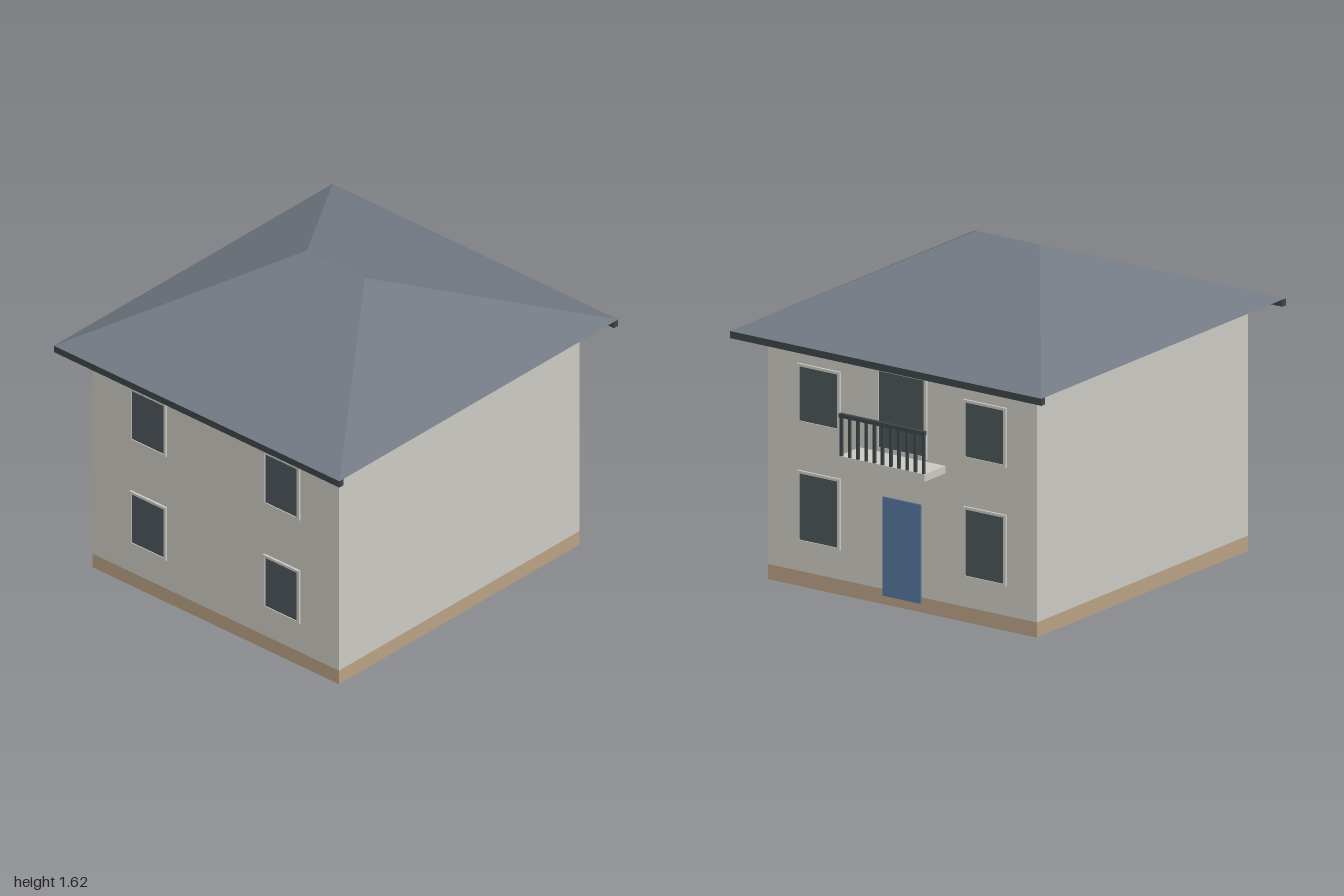
import * as THREE from 'three';

const mat = (name, color, side = THREE.FrontSide) => {
  const m = new THREE.MeshStandardMaterial({ color, side });
  m.name = name;
  return m;
};

export function createModel() {
  const house = new THREE.Group();
  house.name = 'house';
  const plaster = mat('plaster', 0xcbc9c2);
  const plinthTan = mat('plinthTan', 0xb9a184);
  const slate = mat('slate', 0x727983);
  const darkMetal = mat('darkMetal', 0x3c4548);
  const glass = mat('glass', 0x4c5559);
  const doorBlue = mat('doorBlue', 0x56759a);

  // Box given by its lower and upper limits on each axis
  const box = (name, material, [x0, x1], [y0, y1], [z0, z1], parent = house) => {
    const mesh = new THREE.Mesh(new THREE.BoxGeometry(x1 - x0, y1 - y0, z1 - z0), material);
    mesh.position.set((x0 + x1) / 2, (y0 + y1) / 2, (z0 + z1) / 2);
    mesh.name = name;
    parent.add(mesh);
    return mesh;
  };

  const W = 0.785, FRONT = 0.865, BACK = -0.83, EAVE = 1.24;

  // Plinth and walls
  box('plinth', plinthTan, [-W, W], [0, 0.075], [BACK, FRONT]);
  box('walls', plaster, [-W, W], [0.075, EAVE - 0.001], [BACK, FRONT]);

  // Hipped roof: a flat box whose top corners are drawn in to the ridge
  const RX = 0.91, RZ0 = -0.965, RZ1 = 1.0, RIDGE = 0.185, midZ = (RZ0 + RZ1) / 2;
  const corner = {
    a: [-RX, EAVE, RZ1], b: [RX, EAVE, RZ1], c: [RX, EAVE, RZ0], d: [-RX, EAVE, RZ0],
    l: [-RIDGE, 1.62, midZ], r: [RIDGE, 1.62, midZ],
  };
  const faces = ['abr', 'arl', 'bcr', 'cdl', 'clr', 'dal', 'adc', 'acb'];
  const roofGeo = new THREE.BufferGeometry();
  roofGeo.setAttribute('position', new THREE.Float32BufferAttribute(
    faces.flatMap((f) => [...f].flatMap((k) => corner[k])), 3));
  roofGeo.computeVertexNormals();
  const roof = new THREE.Mesh(roofGeo, slate);
  roof.name = 'roof';
  house.add(roof);

  // Gutters along the front and back eaves
  box('frontGutter', darkMetal, [-RX, RX], [1.205, EAVE], [RZ1 - 0.03, RZ1]);
  box('backGutter', darkMetal, [-RX, RX], [1.205, EAVE], [RZ0, RZ0 + 0.03]);

  // Window with a slim projecting frame; built facing +z, turned for the back
  const addWindow = (name, x, y0, y1, w, back) => {
    const h = y1 - y0, rim = 0.013;
    const rect = (T, a, b) => new T([[-a, -b], [a, -b], [a, b], [-a, b]].map((p) => new THREE.Vector2(...p)));
    const shape = rect(THREE.Shape, w / 2, h / 2);
    shape.holes.push(rect(THREE.Path, w / 2 - rim, h / 2 - rim));
    const g = new THREE.Group();
    g.name = name;
    const frame = new THREE.Mesh(new THREE.ExtrudeGeometry(shape, { depth: 0.012, bevelEnabled: false }), plaster);
    frame.name = 'windowFrame';
    g.add(frame);
    box('windowPane', glass, [rim - w / 2, w / 2 - rim], [rim - h / 2, h / 2 - rim], [0, 0.007], g);
    g.position.set(x, (y0 + y1) / 2, back ? BACK : FRONT);
    if (back) g.rotation.y = Math.PI;
    house.add(g);
  };
  for (const s of [-1, 1]) {
    addWindow('frontLowerWindow', s * 0.425, 0.235, 0.53, 0.23, false);
    addWindow('frontUpperWindow', s * 0.425, 0.81, 1.105, 0.23, false);
    addWindow('backLowerWindow', s * 0.485, 0.22, 0.575, 0.25, true);
    addWindow('backUpperWindow', s * 0.485, 0.81, 1.105, 0.25, true);
  }
  addWindow('balconyDoor', 0, 0.765, 1.168, 0.29, true);

  // Back door
  box('backDoor', doorBlue, [-0.112, 0.112], [0.045, 0.535], [BACK - 0.009, BACK]);

  // Balcony slab and front railing
  const balcony = new THREE.Group();
  balcony.name = 'balcony';
  house.add(balcony);
  box('balconySlab', plaster, [-0.25, 0.25], [0.715, 0.752], [-0.997, BACK], balcony);
  box('handrail', darkMetal, [-0.25, 0.25], [0.943, 0.962], [-1.0, -0.98], balcony);
  const posts = 11;
  for (let i = 0; i < posts; i++) {
    const x = -0.24 + (0.48 * i) / (posts - 1);
    box('baluster', darkMetal, [x - 0.007, x + 0.007], [0.752, 0.943], [-0.996, -0.984], balcony);
  }
  return house;
}
